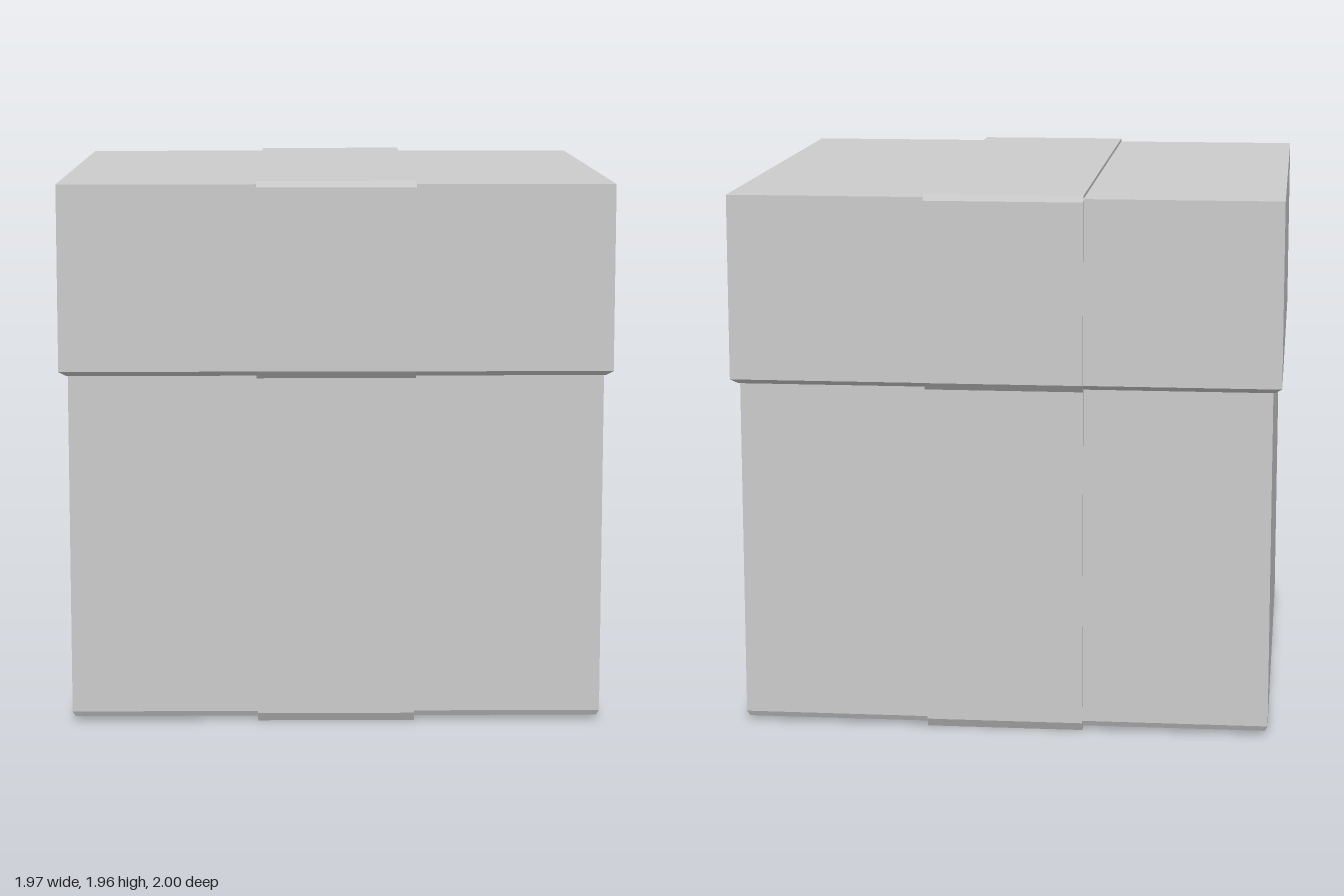
import * as THREE from 'three';

const material = new THREE.MeshStandardMaterial({ color: 0xcccccc, flatShading: true });

// Square block turned from a profile of [half width, height], bottom to top
function squareBlock(name, profile) {
  const points = profile.map(([half, y]) => new THREE.Vector2(half * Math.SQRT2, y));
  const geometry = new THREE.LatheGeometry(points, 4).rotateY(Math.PI / 4);
  const mesh = new THREE.Mesh(geometry, material);
  mesh.name = name;
  return mesh;
}

// Ribbon band: a mirrored [half depth, height] profile extruded across its width
function ribbonBand(name, profile, width) {
  const right = profile.map(([z, y]) => new THREE.Vector2(z, y));
  const left = profile.map(([z, y]) => new THREE.Vector2(-z, y)).reverse();
  const geometry = new THREE.ExtrudeGeometry(new THREE.Shape([...right, ...left]), {
    depth: width, bevelEnabled: false,
  });
  geometry.translate(0, 0, -width / 2).rotateY(Math.PI / 2);
  const mesh = new THREE.Mesh(geometry, material);
  mesh.name = name;
  return mesh;
}

export function createModel() {
  const group = new THREE.Group();
  group.name = 'giftBox';
  const ribbonWidth = 0.566;

  group.add(
    // Box with a small chamfer around the base
    squareBlock('boxBody', [[0, 0.02], [0.946, 0.02], [0.956, 0.04], [0.956, 1.28], [0, 1.28]]),
    // Overhanging lid with a chamfered lower rim
    squareBlock('lid', [[0, 1.27], [0.962, 1.27], [0.987, 1.288], [0.987, 1.953], [0, 1.953]]),
    // Ribbon wrapped around the box
    ribbonBand('bodyRibbon', [[0.953, 0.004], [0.97, 0.035], [0.97, 1.28]], ribbonWidth),
    // Ribbon wrapped over the lid
    ribbonBand('lidRibbon', [[0.978, 1.263], [1, 1.29], [1, 1.942], [0.988, 1.965]], ribbonWidth),
  );
  group.position.y = -0.004;
  return group;
}
